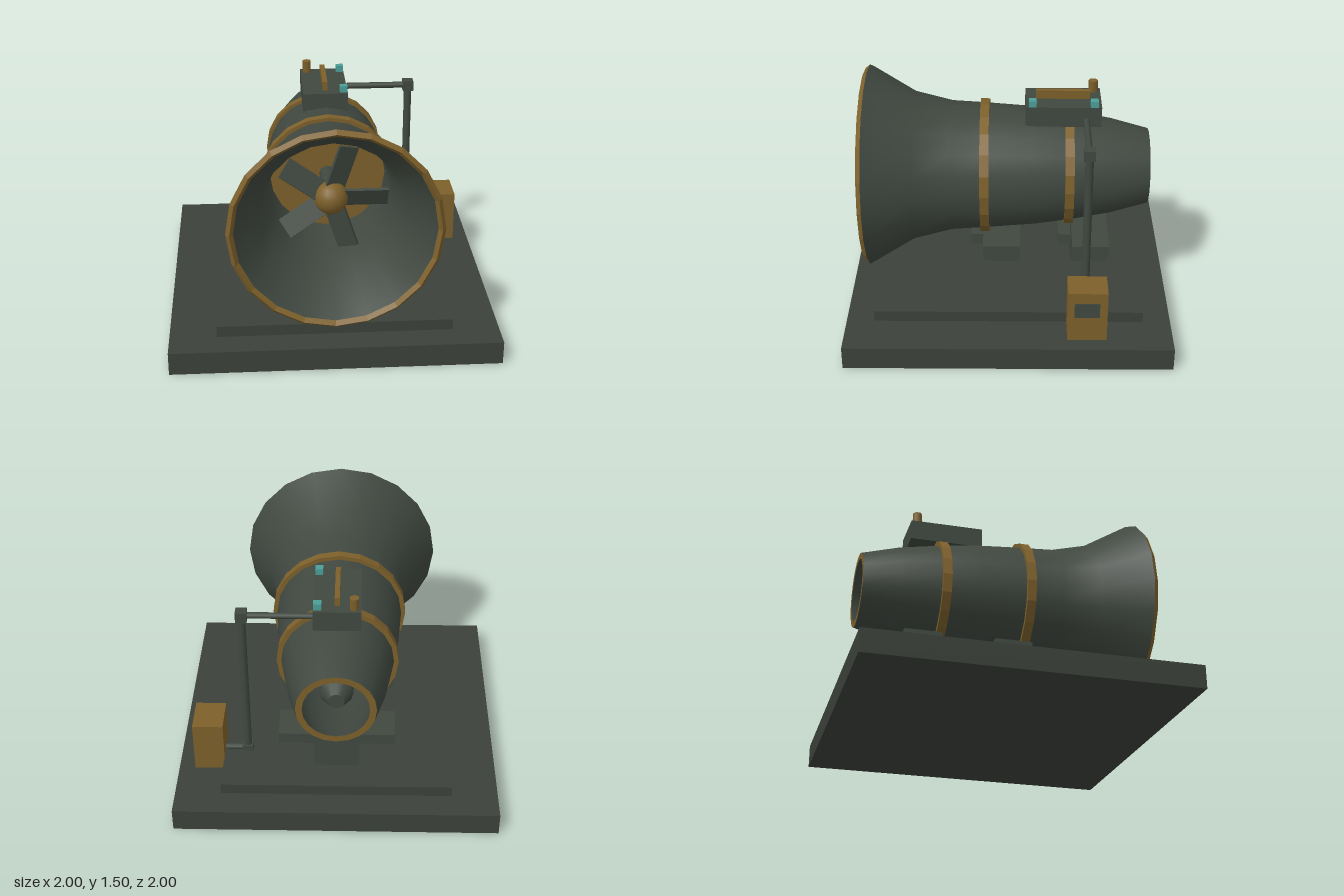
import * as THREE from 'three';

const mat = (name, color) => {
  const m = new THREE.MeshStandardMaterial({ color });
  m.name = name;
  return m;
};

export function createModel() {
  const green = mat('dark green metal', 0x404840);
  const baseGreen = mat('base green', 0x3b413a);
  const brass = mat('aged brass', 0x7d602b);
  const teal = mat('teal lamp', 0x4a9f98);

  const model = new THREE.Group();
  model.name = 'windTunnelFan';
  const AXIS_Y = 0.86;

  const add = (name, geo, material, x = 0, y = 0, z = 0, parent = model) => {
    const m = new THREE.Mesh(geo, material);
    m.name = name;
    m.position.set(x, y, z);
    parent.add(m);
    return m;
  };
  // Box given by its limits on each axis
  const box = (name, material, [x0, x1], [y0, y1], [z0, z1]) =>
    add(name, new THREE.BoxGeometry(x1 - x0, y1 - y0, z1 - z0), material,
      (x0 + x1) / 2, (y0 + y1) / 2, (z0 + z1) / 2);

  // Base and plate
  box('base', baseGreen, [-1, 1], [0, 0.145], [-1, 1]);
  box('basePlate', baseGreen, [-0.715, 0.715], [0.145, 0.215], [-0.83, 0.83]);

  // Saddle supports
  for (const z of [0.0475, -0.5175]) {
    box('supportPedestal', green, [-0.14, 0.14], [0.215, 0.395], [z - 0.117, z + 0.117]);
    box('supportSlab', green, [-0.36, 0.36], [0.395, 0.467], [z - 0.117, z + 0.117]);
    box('supportBracket', green, [-0.1, 0.1], [0.325, 0.395], [z + 0.117, z + 0.2]);
  }

  // Horn assembly: profiles of [radius, z] turned about the z axis
  const horn = new THREE.Group();
  horn.name = 'horn';
  horn.position.y = AXIS_Y;
  model.add(horn);
  const turn = (name, material, profile, flat = false) => {
    let geo = new THREE.LatheGeometry(profile.map(([r, z]) => new THREE.Vector2(r, z)), 20);
    geo.rotateX(Math.PI / 2);
    if (flat) {
      geo = geo.toNonIndexed();
      geo.computeVertexNormals();
    }
    return add(name, geo, material, 0, 0, 0, horn);
  };
  turn('hornShell', green, [[0.24, -0.88], [0.305, -0.64], [0.35, -0.38], [0.378, -0.17],
    [0.4, 0.12], [0.415, 0.36], [0.475, 0.6], [0.64, 0.88]]);
  turn('hornLining', green, [[0.595, 0.88], [0.435, 0.6], [0.385, 0.36], [0.365, 0.05]]);
  turn('rearLining', green, [[0.365, 0.04], [0.345, -0.17], [0.31, -0.38], [0.265, -0.64], [0.2, -0.88]]);
  turn('frontRim', brass, [[0.64, 0.88], [0.617, 0.908], [0.595, 0.88]], true);
  turn('rearRim', brass, [[0.2, -0.88], [0.24, -0.88]], true);
  for (const [z, r] of [[0.152, 0.427], [-0.375, 0.375]]) {
    turn('band', brass, [[r - 0.032, z - 0.028], [r, z - 0.028], [r, z + 0.028], [r - 0.032, z + 0.028]], true);
  }

  // Bulkhead, shaft and tail hub
  const drum = (name, material, rFront, rBack, z0, z1, n = 20) => {
    const geo = new THREE.CylinderGeometry(rFront, rBack, z1 - z0, n);
    geo.rotateX(Math.PI / 2);
    return add(name, geo, material, 0, 0, (z0 + z1) / 2, horn);
  };
  drum('bulkhead', brass, 0.368, 0.368, 0.04, 0.06);
  drum('fanShaft', green, 0.05, 0.05, 0.06, 0.42, 12);
  drum('tailHub', green, 0.1, 0.1, -0.72, 0.04, 12);
  drum('tailCone', green, 0.1, 0.05, -0.8, -0.72, 12);

  // Fan
  const fan = new THREE.Group();
  fan.name = 'fan';
  fan.position.z = 0.42;
  horn.add(fan);
  add('fanHub', new THREE.SphereGeometry(0.105, 16, 12), brass, 0, 0, 0, fan);
  for (let i = 0; i < 5; i++) {
    const arm = new THREE.Group();
    arm.name = 'bladeArm';
    arm.rotation.z = (i * Math.PI * 2) / 5;
    fan.add(arm);
    add('fanBlade', new THREE.BoxGeometry(0.27, 0.135, 0.02), green, 0.215, 0, 0, arm).rotation.x = 0.45;
  }

  // Control box on top
  box('controlBox', green, [-0.142, 0.142], [1.205, 1.335], [-0.57, -0.1]);
  box('controlRail', brass, [-0.015, 0.015], [1.335, 1.39], [-0.5, -0.165]);
  add('controlKnob', new THREE.CylinderGeometry(0.03, 0.03, 0.075, 6), brass, -0.1, 1.3725, -0.525);
  for (const z of [-0.525, -0.145]) {
    box('lamp', teal, [0.092, 0.14], [1.335, 1.375], [z - 0.024, z + 0.024]);
  }

  // Conduit from the control box down to the cabinet
  const PX = 0.57, PZ = -0.477;
  add('conduitPole', new THREE.CylinderGeometry(0.025, 0.025, 1.01, 10), green, PX, 0.74, PZ);
  const pipe = (name, x0, x1, y) => {
    const geo = new THREE.CylinderGeometry(0.02, 0.02, x1 - x0, 10);
    geo.rotateZ(Math.PI / 2);
    add(name, geo, green, (x0 + x1) / 2, y, PZ);
  };
  pipe('upperConduit', 0.13, PX, 1.245);
  pipe('lowerConduit', PX, 0.72, 0.225);
  for (const y of [1.243, 0.22]) {
    add('conduitJoint', new THREE.BoxGeometry(0.068, 0.068, 0.068), green, PX, y, PZ);
  }

  // Cabinet with its side panel
  box('cabinet', brass, [0.71, 0.9], [0.145, 0.48], [-0.597, -0.358]);
  box('cabinetPanel', green, [0.897, 0.904], [0.31, 0.41], [-0.55, -0.398]);

  return model;
}
